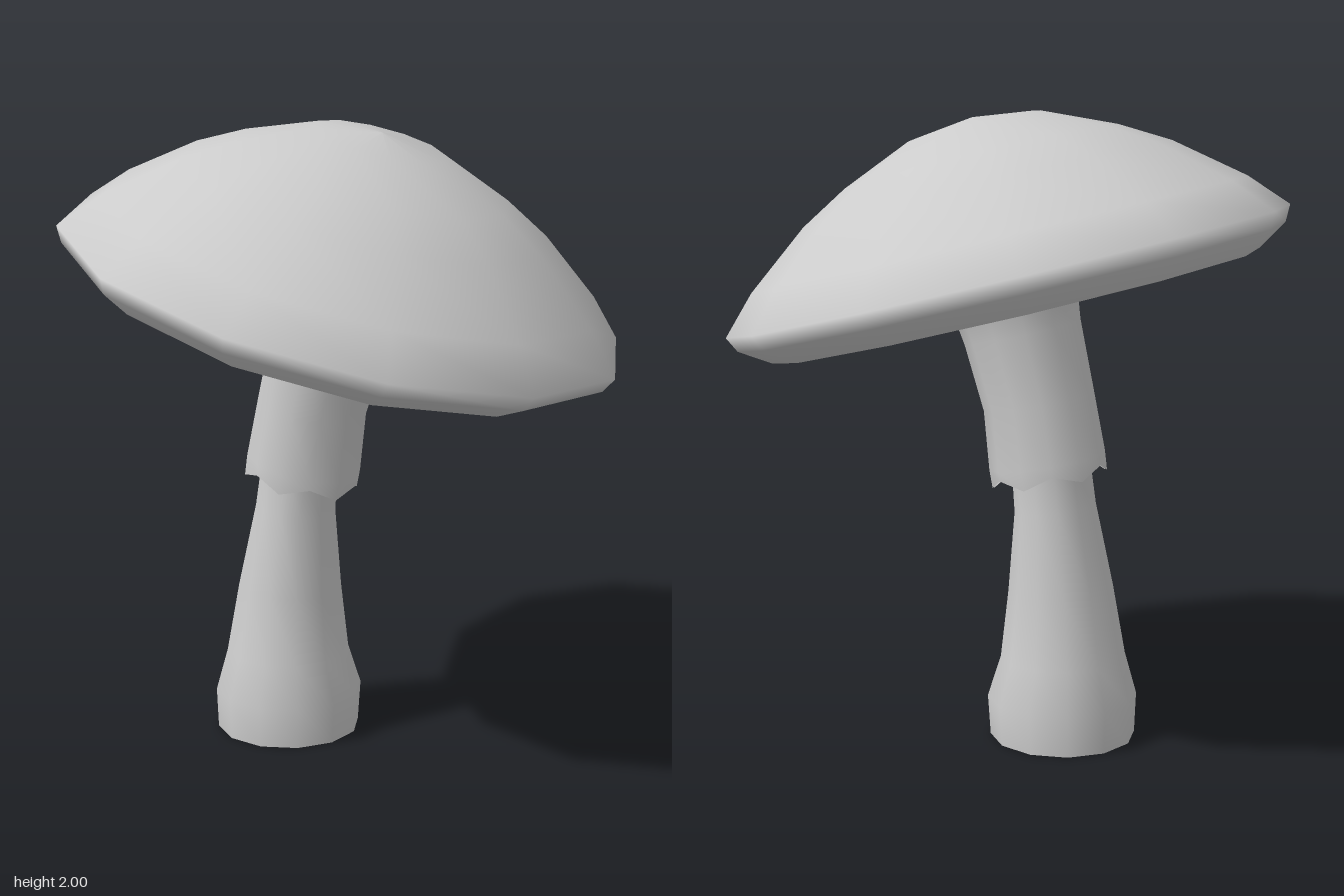
import * as THREE from 'three';

const SIDES = 12;
const material = new THREE.MeshStandardMaterial({ color: 0xcccccc, side: THREE.DoubleSide });

function addMesh(parent, name, geometry) {
  const mesh = new THREE.Mesh(geometry, material);
  mesh.name = name;
  parent.add(mesh);
  return mesh;
}

// Lathe whose rings are re-centred and tilted to follow a leaning axis.
// Each ring is [centreX, centreY, radius, tiltDegrees, ripple].
function leaningTube(rings) {
  const profile = rings.map((r, i) => new THREE.Vector2(r[2], i * 0.1));
  const geometry = new THREE.LatheGeometry(profile, SIDES);
  const pos = geometry.attributes.position;
  for (let i = 0; i < pos.count; i++) {
    const [cx, cy, , tilt, ripple = 0] = rings[i % rings.length];
    const side = Math.floor(i / rings.length) % SIDES;
    const a = THREE.MathUtils.degToRad(tilt);
    const x = pos.getX(i);
    const wave = ripple * (side % 2 ? 1 : -1);
    pos.setXYZ(i, cx + x * Math.cos(a) + wave * Math.sin(a),
      cy - x * Math.sin(a) + wave * Math.cos(a), pos.getZ(i));
  }
  geometry.computeVertexNormals();
  // Average the normals across the seam
  const n = geometry.attributes.normal;
  const last = SIDES * rings.length;
  for (let j = 0; j < rings.length; j++) {
    const v = new THREE.Vector3().fromBufferAttribute(n, j)
      .add(new THREE.Vector3().fromBufferAttribute(n, last + j)).normalize();
    n.setXYZ(j, v.x, v.y, v.z);
    n.setXYZ(last + j, v.x, v.y, v.z);
  }
  return geometry;
}

const lathe = (points) =>
  new THREE.LatheGeometry(points.map(([r, y]) => new THREE.Vector2(r, y)), SIDES);

export function createModel() {
  const model = new THREE.Group();
  model.name = 'mushroom';

  // Stem: open at the foot, bulging low and narrowing under the collar
  addMesh(model, 'stem', leaningTube([
    [-0.197, 0, 0.233, 0],
    [-0.195, 0.13, 0.24, 0],
    [-0.197, 0.265, 0.2, 1],
    [-0.188, 0.485, 0.168, 3],
    [-0.167, 0.75, 0.13, 7],
    [-0.15, 0.9, 0.125, 10],
  ]));

  // Collar: ragged skirt folded in to the stem, flaring into the cap
  addMesh(model, 'collarFold', leaningTube([
    [-0.15, 0.9, 0.125, 10],
    [-0.145, 0.855, 0.18, 10, 0.016],
  ]));
  addMesh(model, 'collar', leaningTube([
    [-0.145, 0.855, 0.184, 10, 0.016],
    [-0.138, 0.9, 0.186, 11],
    [-0.108, 1.09, 0.177, 12],
    [-0.05, 1.305, 0.187, 14],
    [-0.025, 1.4, 0.2, 15],
    [0, 1.495, 0.23, 15],
  ]));

  // Cap: a tilted dome with a rounded lip and a shallow hollow below
  const cap = new THREE.Group();
  cap.name = 'cap';
  cap.position.set(0, 1.495, 0);
  cap.rotation.z = THREE.MathUtils.degToRad(-15);
  addMesh(cap, 'capDome', lathe([
    [0.79, -0.11], [0.885, -0.05], [0.911, 0], [0.8, 0.118], [0.593, 0.28],
    [0.44, 0.367], [0.212, 0.464], [0, 0.492],
  ]));
  addMesh(cap, 'capUnderside', lathe([[0.18, 0.01], [0.5, -0.06], [0.79, -0.11]]));
  model.add(cap);

  return model;
}
